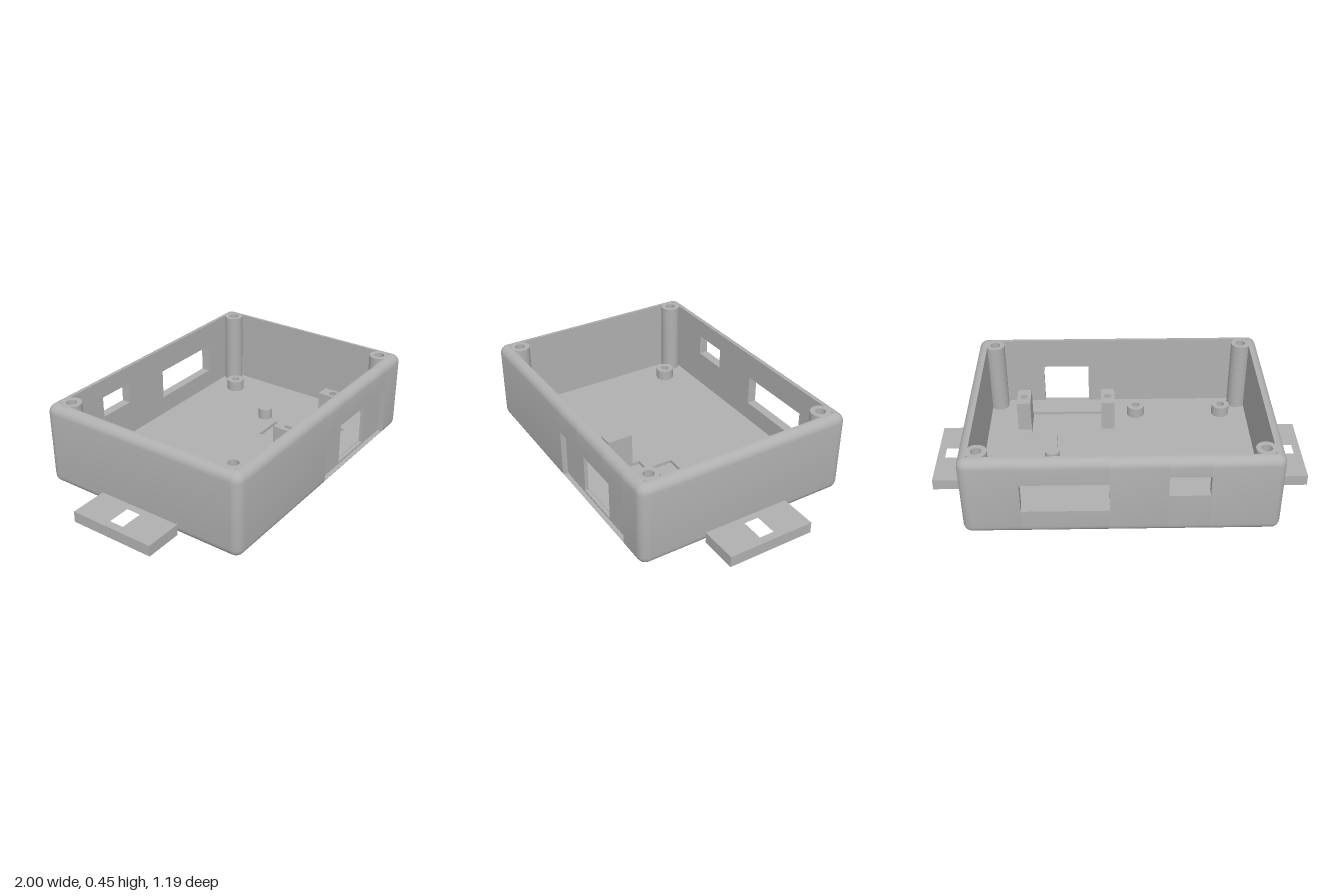
import * as THREE from 'three';
import { toCreasedNormals } from 'three/addons/utils/BufferGeometryUtils.js';

const HX = 0.795, HZ = 0.5925, H = 0.45;   // outer half sizes and height
const R = 0.045, T = 0.05, FLOOR = 0.04;   // edge radius, wall and floor thickness

export function createModel() {
  const model = new THREE.Group();
  model.name = 'openEnclosure';
  const plastic = new THREE.MeshStandardMaterial({ color: 0xb0b0b0 });
  plastic.name = 'greyPlastic';

  const add = (name, geometry) => {
    const mesh = new THREE.Mesh(toCreasedNormals(geometry, 0.6), plastic);
    mesh.name = name;
    model.add(mesh);
    return mesh;
  };

  // Rounded outer edge as [inset, y] points, from bottom to top
  const edge = [];
  for (let i = 0; i <= 6; i++) {
    const a = i / 6 * Math.PI / 2;
    edge.push([R * (1 - Math.sin(a)), R * (1 - Math.cos(a))]);
  }
  for (let i = 6; i >= 0; i--) edge.push([edge[i][0], H - edge[i][1]]);
  const insetAt = y => {
    const d = Math.max(0, R - Math.min(y, H - y));
    return R - Math.sqrt(R * R - d * d);
  };

  // Wall segment from a to b; each band is [yBottom, yTop, recessDepth]
  const wall = (name, angle, half, a, b, bands) => {
    const pts = [];
    for (const [y0, y1, recess] of bands) {
      const ys = [y0, ...edge.map(e => e[1]).filter(y => y > y0 + 1e-4 && y < y1 - 1e-4), y1];
      for (const y of ys) pts.push(new THREE.Vector2(half - Math.max(recess, insetAt(y)), y));
    }
    pts.push(new THREE.Vector2(half - T, bands[bands.length - 1][1]));
    pts.push(new THREE.Vector2(half - T, bands[0][0]));
    const g = new THREE.ExtrudeGeometry(new THREE.Shape(pts), { depth: b - a, bevelEnabled: false });
    add(name, g.translate(0, 0, a).rotateY(angle));
  };

  const full = [[0, H, 0]];
  const LX = HX - R, LZ = HZ - R;

  // Side walls
  wall('leftWall', 0, HX, -LZ, LZ, full);
  wall('rightWall', Math.PI, HX, -LZ, LZ, full);

  // Front wall with a shallow recess and a window inside it (local axis is -x)
  const D = 0.03;
  const recessed = [[0, 0.025, 0], [0.025, 0.295, D], [0.295, H, 0]];
  const front = (a, b, bands) => wall('frontWall', -Math.PI / 2, HZ, -b, -a, bands);
  front(-LX, -0.02, full);
  front(-0.02, 0.175, recessed);
  front(0.175, 0.435, [[0, 0.025, 0], [0.025, 0.037, D]]);
  front(0.175, 0.435, [[0.275, 0.295, D], [0.295, H, 0]]);
  front(0.435, 0.625, recessed);
  front(0.625, LX, full);

  // Back wall with a small and a large window
  const back = (a, b, bands) => wall('backWall', Math.PI / 2, HZ, a, b, bands);
  back(-LX, -0.435, full);
  back(-0.435, -0.23, [[0, 0.235, 0]]);
  back(-0.435, -0.23, [[0.35, H, 0]]);
  back(-0.23, 0.06, full);
  back(0.06, 0.5, [[0, 0.145, 0]]);
  back(0.06, 0.5, [[0.31, H, 0]]);
  back(0.5, LX, full);

  // Rounded vertical corners
  const cornerProfile = edge.map(([inset, y]) => new THREE.Vector2(Math.max(0, R - inset), y));
  [[1, 1], [1, -1], [-1, -1], [-1, 1]].forEach(([sx, sz], i) => {
    const g = new THREE.LatheGeometry(cornerProfile, 6, i * Math.PI / 2, Math.PI / 2);
    add('corner', g.translate(sx * LX, 0, sz * LZ));
  });

  // Horizontal plate from x/z outlines
  const rect = (x0, x1, z0, z1) => [[x0, z0], [x1, z0], [x1, z1], [x0, z1]];
  const toVec = p => p.map(([x, z]) => new THREE.Vector2(x, -z));
  const plate = (name, outline, y0, y1, hole) => {
    const shape = new THREE.Shape(toVec(outline));
    if (hole) shape.holes.push(new THREE.Path(toVec(hole)));
    const g = new THREE.ExtrudeGeometry(shape, { depth: y1 - y0, bevelEnabled: false });
    return add(name, g.rotateX(-Math.PI / 2).translate(0, y0, 0));
  };
  const circle = (cx, cz, r) => Array.from({ length: 20 }, (_, i) => {
    const a = i / 20 * Math.PI * 2;
    return [cx + r * Math.cos(a), cz + r * Math.sin(a)];
  });

  // Floor with a T-shaped pocket
  const floorOutline = rect(-HX + T, HX - T, -HZ + T, HZ - T);
  const pocket = [[0.1, 0.415], [0.5, 0.415], [0.5, 0.2], [0.35, 0.2],
    [0.35, 0.05], [0.18, 0.05], [0.18, 0.2], [0.1, 0.2]];
  plate('floorBase', floorOutline, 0, 0.022);
  plate('floorTop', floorOutline, 0.022, FLOOR, pocket);

  // Hollow round posts
  const post = (name, x, z, r, hole, top) => {
    const p = [[r, FLOOR], [r, top], [hole, top], [hole, FLOOR]].map(q => new THREE.Vector2(...q));
    add(name, new THREE.LatheGeometry(p, 32).translate(x, 0, z));
  };
  for (const sx of [-1, 1])
    for (const sz of [-1, 1]) post('cornerScrewPost', sx * 0.7025, sz * 0.4975, 0.053, 0.027, H);
  for (const [x, z] of [[-0.597, -0.393], [0.575, -0.393], [-0.597, 0.393], [-0.1, 0.393]])
    post('boardStandoff', x, z, 0.05, 0.022, 0.1);

  // Solid support peg
  add('supportPeg', new THREE.CylinderGeometry(0.04, 0.04, 0.06, 32).translate(0.37, 0.07, -0.037));

  // Square mounting blocks beside the front window
  plate('mountingBlock', rect(0.025, 0.1, 0.24, 0.38), FLOOR, 0.22, circle(0.063, 0.31, 0.022));
  plate('mountingBlock', rect(0.5, 0.577, 0.24, 0.38), FLOOR, 0.22, circle(0.539, 0.31, 0.022));

  // Slotted mounting tabs
  for (const s of [-1, 1]) {
    const [x0, x1] = s > 0 ? [HX, 1] : [-1, -HX];
    const [h0, h1] = s > 0 ? [0.835, 0.958] : [-0.958, -0.835];
    plate('mountingTab', rect(x0, x1, -0.2375, 0.2375), 0, 0.06, rect(h0, h1, -0.04, 0.04));
  }
  return model;
}
